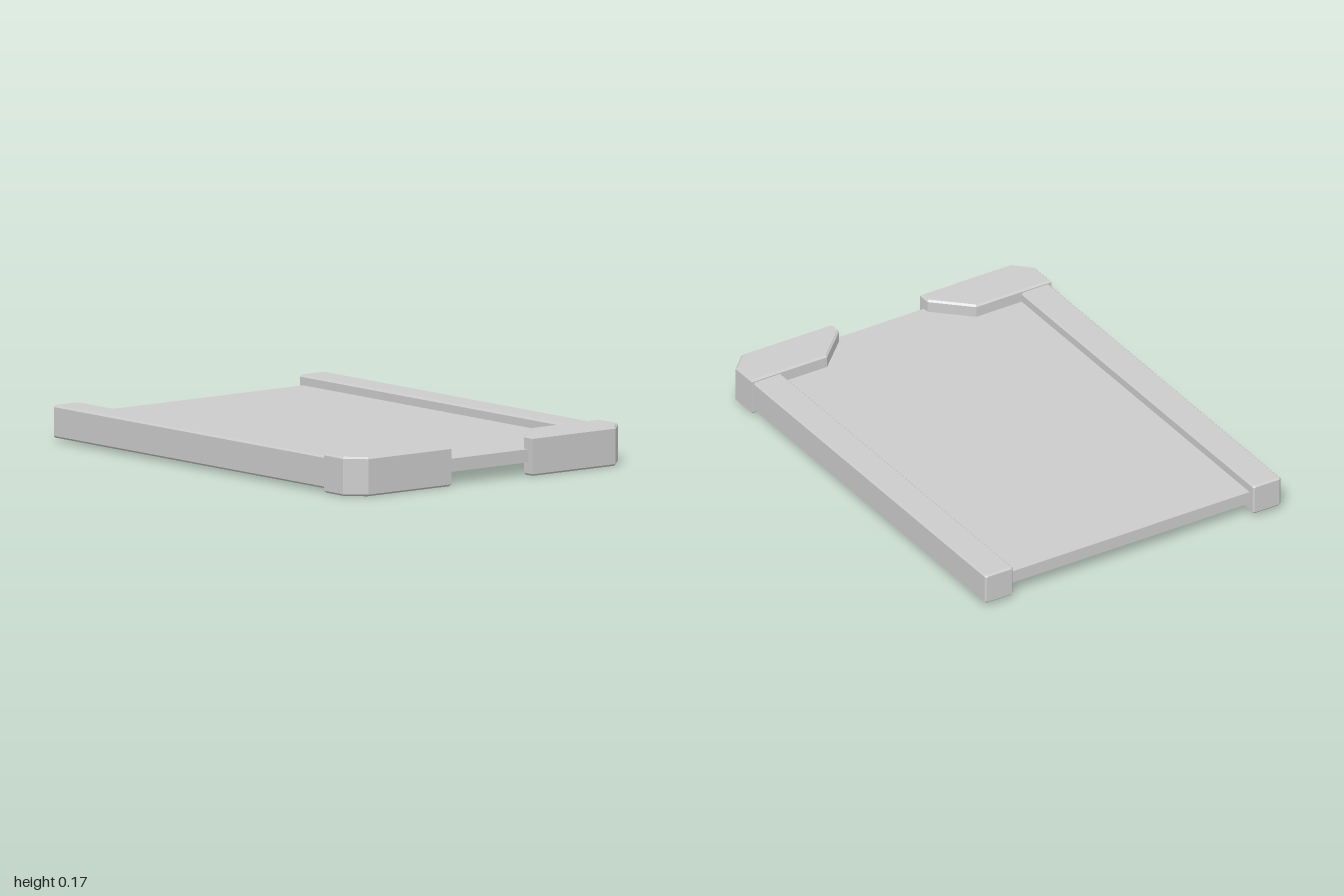
import * as THREE from 'three';

const BEVEL = 0.008;

// Prism from an outline, with a small chamfer kept inside the outline and the given depth.
function chamferedPrism(points, depth) {
  const shape = new THREE.Shape(points.map(([x, y]) => new THREE.Vector2(x, y)));
  const geometry = new THREE.ExtrudeGeometry(shape, {
    depth: depth - 2 * BEVEL,
    bevelEnabled: true,
    bevelThickness: BEVEL,
    bevelSize: BEVEL,
    bevelOffset: -BEVEL,
    bevelSegments: 1,
  });
  return geometry.translate(0, 0, BEVEL);
}

export function createModel() {
  const group = new THREE.Group();
  const material = new THREE.MeshStandardMaterial({ color: 0xcccccc, flatShading: true });

  function add(name, geometry) {
    const mesh = new THREE.Mesh(geometry, material);
    mesh.name = name;
    group.add(mesh);
    return mesh;
  }

  // Thin flat panel held between the rails
  add('panel', new THREE.BoxGeometry(1.94, 0.055, 1.3)).position.y = 0.0825;

  for (const side of [1, -1]) {
    const label = side > 0 ? 'front' : 'back';

    // Long rail with chamfered edges, its end tucked into the corner block
    const w = 0.0685, h = 0.0685, c = BEVEL;
    const section = [
      [-w + c, -h], [w - c, -h], [w, -h + c], [w, h - c],
      [w - c, h], [-w + c, h], [-w, h - c], [-w, -h + c],
    ];
    const rail = chamferedPrism(section, 1.82).rotateY(Math.PI / 2);
    add(label + 'Rail', rail).position.set(-1, 0.0835, side * 0.6585);

    // Corner block: clipped outer corner and slanted inner end, drawn in plan
    const plan = [
      [0.8, 0.737], [0.925, 0.737], [1, 0.662],
      [1, 0.217], [0.943, 0.217], [0.8, 0.367],
    ];
    const outline = plan.map(([x, z]) => [x, -side * z]);
    add(label + 'CornerBlock', chamferedPrism(outline, 0.165).rotateX(-Math.PI / 2));
  }

  return group;
}
